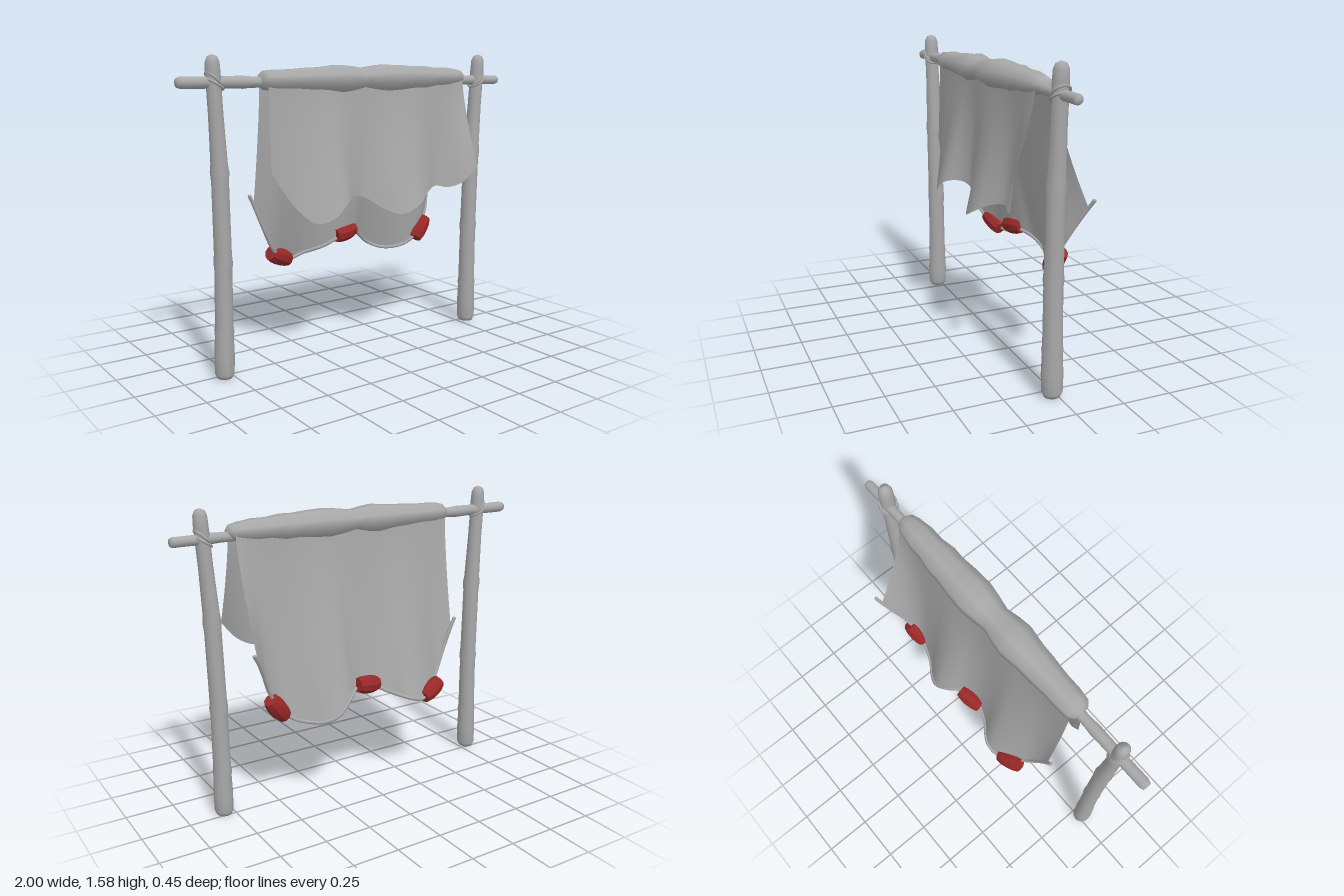
import * as THREE from 'three';

const grey = new THREE.MeshStandardMaterial({ color: 0xa8a8a8 });
grey.name = 'weathered grey';
const clothGrey = new THREE.MeshStandardMaterial({ color: 0xa8a8a8, side: THREE.DoubleSide });
clothGrey.name = 'net grey';
const red = new THREE.MeshStandardMaterial({ color: 0x992828 });
red.name = 'float red';

const v2 = (p) => new THREE.Vector2(p[0], p[1]);
const v3 = (p) => new THREE.Vector3(...p);

function add(parent, name, geometry, material) {
  const mesh = new THREE.Mesh(geometry, material);
  mesh.name = name;
  parent.add(mesh);
  return mesh;
}

// Knotty upright pole, bent sideways by a smooth rule
function post(group, name, bend) {
  const profile = [[0, 0.005], [0.038, 0.008], [0.048, 0.03], [0.05, 0.12], [0.046, 0.22], [0.049, 0.245],
    [0.045, 0.27], [0.043, 0.55], [0.047, 0.59], [0.043, 0.63], [0.042, 0.98], [0.046, 1.03], [0.041, 1.07],
    [0.036, 1.3], [0.036, 1.5], [0.034, 1.545], [0.024, 1.57], [0, 1.58]].map(v2);
  const geo = new THREE.LatheGeometry(profile, 14);
  const curve = new THREE.SplineCurve(bend.map(v2));
  const pos = geo.attributes.position;
  for (let i = 0; i < pos.count; i++) {
    const y = pos.getY(i);
    pos.setX(i, pos.getX(i) + curve.getPoint(y / 1.58).x);
    pos.setZ(i, pos.getZ(i) * 1.08 + 0.025 + 0.007 * y / 1.58);
  }
  geo.computeVertexNormals();
  add(group, name, geo, grey);
}

// Sheet hanging from the bar down to a wavy hem
function netSheet(group, name, hem, topZ) {
  const curve = new THREE.CatmullRomCurve3(hem.map(v3));
  const cols = 60, rows = 16;
  const geo = new THREE.PlaneGeometry(1, 1, cols, rows);
  const pos = geo.attributes.position;
  for (let r = 0; r <= rows; r++) {
    const t = r / rows;
    for (let c = 0; c <= cols; c++) {
      const p = curve.getPoint(c / cols);
      pos.setXYZ(r * (cols + 1) + c, p.x,
        THREE.MathUtils.lerp(1.45, p.y, t),
        THREE.MathUtils.lerp(topZ, p.z, Math.pow(t, 1.35)));
    }
  }
  geo.computeVertexNormals();
  add(group, name, geo, clothGrey);
}

export function createModel() {
  const group = new THREE.Group();
  group.name = 'netDryingRack';

  post(group, 'rightPost', [[-0.797, 0], [-0.79, 0.5], [-0.797, 1], [-0.82, 1.58]]);
  post(group, 'leftPost', [[0.805, 0], [0.803, 0.5], [0.814, 1], [0.845, 1.58]]);

  // Crossbar, slightly tilted and tapered
  const barProfile = [[0, -1], [0.022, -0.997], [0.029, -0.975], [0.028, -0.8], [0.031, -0.66], [0.027, -0.62],
    [0.028, 0], [0.025, 0.75], [0.027, 0.8], [0.025, 0.9], [0.025, 0.985], [0.019, 0.998], [0, 1]].map(v2);
  const bar = add(group, 'crossbar', new THREE.LatheGeometry(barProfile, 12), grey);
  bar.rotation.z = -Math.PI / 2 - 0.009;
  bar.position.set(0, 1.443, 0.027);

  // Lashings where the bar crosses the posts
  for (const [x, y, side] of [[-0.813, 1.453, -1], [0.838, 1.435, 1]]) {
    for (const tilt of [0.55, 0.75]) {
      const ring = add(group, 'lashing', new THREE.TorusGeometry(0.043, 0.007, 6, 20), grey);
      ring.geometry.rotateX(Math.PI / 2);
      ring.scale.x = 1.12;
      ring.rotation.z = side * tilt;
      ring.position.set(x, y + (tilt - 0.65) * 0.1, 0.03);
    }
  }

  // Bunched roll of net over the bar
  const rollRadii = [[0, -0.575], [0.032, -0.57], [0.05, -0.545], [0.056, -0.48], [0.056, -0.4], [0.063, -0.3],
    [0.066, -0.22], [0.077, -0.12], [0.07, -0.05], [0.058, 0.02], [0.068, 0.09], [0.077, 0.17], [0.073, 0.27],
    [0.066, 0.36], [0.068, 0.42], [0.057, 0.5], [0.057, 0.58], [0.046, 0.66], [0.036, 0.7], [0.018, 0.715], [0, 0.717]];
  const roll = add(group, 'netRoll', new THREE.LatheGeometry(rollRadii.map(v2), 8, Math.PI / 8), grey);
  roll.geometry.rotateZ(-Math.PI / 2);
  roll.scale.z = 1.3;
  roll.position.set(0, 1.455, 0.032);

  netSheet(group, 'frontNet', [[-0.55, 1.01, 0.09], [-0.5, 0.93, 0.1], [-0.43, 0.82, 0.14], [-0.34, 0.75, 0.18],
    [-0.25, 0.78, 0.21], [-0.17, 0.84, 0.195], [-0.08, 0.86, 0.135], [0, 0.84, 0.11], [0.08, 0.785, 0.15],
    [0.17, 0.75, 0.205], [0.28, 0.79, 0.215], [0.38, 0.845, 0.165], [0.47, 0.865, 0.12], [0.55, 0.85, 0.13],
    [0.62, 0.88, 0.18], [0.69, 0.965, 0.215]], 0.075);

  const backHem = [[-0.55, 0.83, -0.1], [-0.5, 0.71, -0.1], [-0.43, 0.58, -0.125], [-0.36, 0.52, -0.17],
    [-0.28, 0.49, -0.21], [-0.2, 0.51, -0.21], [-0.1, 0.55, -0.145], [0, 0.6, -0.115], [0.1, 0.605, -0.14],
    [0.17, 0.57, -0.19], [0.25, 0.51, -0.215], [0.32, 0.48, -0.19], [0.38, 0.48, -0.15], [0.45, 0.5, -0.12],
    [0.52, 0.555, -0.105], [0.6, 0.68, -0.13], [0.65, 0.79, -0.175], [0.69, 0.87, -0.21]];
  netSheet(group, 'backNet', backHem, -0.015);

  // Rope along the back hem
  const rope = new THREE.CatmullRomCurve3([[-0.572, 0.875, -0.1], ...backHem, [0.715, 0.91, -0.225]].map(v3));
  add(group, 'hemRope', new THREE.TubeGeometry(rope, 90, 0.01, 6), grey);
  for (const t of [0, 1]) {
    const tip = add(group, 'ropeEnd', new THREE.SphereGeometry(0.01, 8, 6), grey);
    tip.position.copy(rope.getPoint(t));
  }

  // Barrel floats threaded on the rope
  const floatProfile = [[0, -0.07], [0.038, -0.07], [0.047, -0.035], [0.049, 0], [0.047, 0.035], [0.038, 0.07], [0, 0.07]].map(v2);
  const floats = [
    [[-0.36, 0.52, -0.18], [0.12, -0.055, -0.03]],
    [[0.03, 0.612, -0.135], [0.13, 0.02, -0.025]],
    [[0.548, 0.58, -0.112], [0.085, 0.11, -0.02]],
  ];
  for (const [at, dir] of floats) {
    const geo = new THREE.LatheGeometry(floatProfile, 9).toNonIndexed();
    geo.computeVertexNormals();
    const mesh = add(group, 'float', geo, red);
    mesh.position.set(...at);
    mesh.quaternion.setFromUnitVectors(new THREE.Vector3(0, 1, 0), v3(dir).normalize());
  }
  return group;
}
